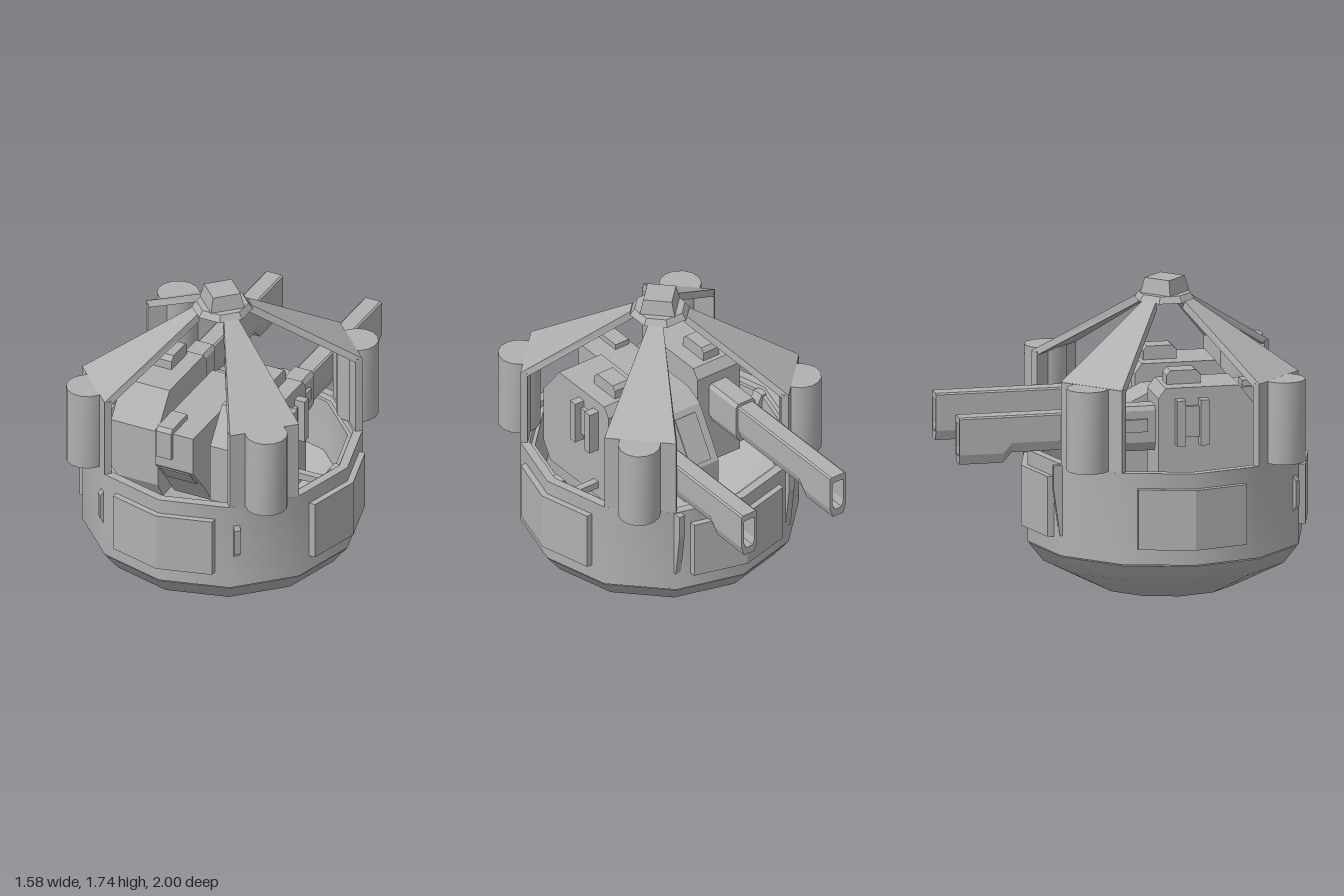
import * as THREE from 'three';
import { toCreasedNormals } from 'three/addons/utils/BufferGeometryUtils.js';

const CZ = 0.205; // turret axis, forward of the model's centre because of the long barrels

export function createModel() {
  const root = new THREE.Group();
  const grey = new THREE.MeshStandardMaterial({ color: 0xb0b0b0 });
  grey.name = 'plainGrey';

  const add = (name, geo, parent = root) => {
    const m = new THREE.Mesh(geo, grey);
    m.name = name;
    parent.add(m);
    return m;
  };
  // Box given by its limits
  const box = (x0, x1, y0, y1, z0, z1) =>
    new THREE.BoxGeometry(x1 - x0, y1 - y0, z1 - z0)
      .translate((x0 + x1) / 2, (y0 + y1) / 2, (z0 + z1) / 2);
  // Side profile of [z, y] points extruded between x0 and x1
  const profile = (pts, x0, x1) =>
    new THREE.ExtrudeGeometry(new THREE.Shape(pts.map(p => new THREE.Vector2(...p))),
      { depth: x1 - x0, bevelEnabled: false }).rotateY(-Math.PI / 2).translate(x1, 0, 0);
  // Flat-shaded skin over rings listed from +z towards -z, counterclockwise seen from +z
  const loft = rings => {
    const v = [], n = rings[0].length, last = rings[rings.length - 1];
    const tri = (...p) => p.forEach(q => v.push(...q));
    for (let s = 0; s + 1 < rings.length; s++) {
      const a = rings[s], b = rings[s + 1];
      for (let i = 0; i < n; i++) {
        const j = (i + 1) % n;
        tri(a[i], b[i], a[j]);
        tri(a[j], b[i], b[j]);
      }
    }
    for (let i = 1; i + 1 < n; i++) {
      tri(rings[0][0], rings[0][i], rings[0][i + 1]);
      tri(last[0], last[i + 1], last[i]);
    }
    const g = new THREE.BufferGeometry();
    g.setAttribute('position', new THREE.Float32BufferAttribute(v, 3));
    g.computeVertexNormals();
    return g;
  };
  const lathe = pts => toCreasedNormals(
    new THREE.LatheGeometry(pts.map(p => new THREE.Vector2(...p)), 12), 0.58).translate(0, 0, CZ);

  // Lower dome and open twelve-sided hull with a bowl inside
  add('lowerDome', lathe([[0, 0], [0.385, 0.055], [0.67, 0.2], [0.75, 0.303], [0.7, 0.303]]));
  add('hullRing', lathe([[0.7, 0.31], [0.755, 0.31], [0.755, 0.815], [0.705, 0.815],
    [0.695, 0.79], [0.675, 0.79], [0.65, 0.5], [0.4, 0.27], [0, 0.18]]));

  // Raised armour panels on the four sides, each bent around a hull corner
  const drop = Math.tan(Math.PI / 12);
  const panelRing = (w, y0, y1, r) => [[-w, y0], [0, y0], [w, y0], [w, y1], [0, y1], [-w, y1]]
    .map(([x, y]) => [x, y, r - Math.abs(x) * drop]);
  for (let k = 0; k < 4; k++) {
    const g = new THREE.Group();
    g.name = 'armourPanel';
    g.position.z = CZ;
    g.rotation.y = k * Math.PI / 2;
    root.add(g);
    // two flat halves meet along the corner
    for (const s of [-1, 1]) {
      const half = r => panelRing(0.298, 0.4, 0.732, r)
        .filter(p => p[0] * s >= 0);
      const order = h => s > 0 ? [h[0], h[1], h[2], h[3]] : [h[0], h[1], h[2], h[3]];
      add('panelHalf', loft([order(half(0.79)), order(half(0.74))]), g);
    }
  }

  // Four diagonal pillars with sloping roof arms
  for (let k = 0; k < 4; k++) {
    const g = new THREE.Group();
    g.name = 'pillar';
    g.position.z = CZ;
    g.rotation.y = Math.PI / 4 + k * Math.PI / 2;
    root.add(g);
    add('pillarPlate', box(-0.195, 0.195, 0.79, 1.268, 0.69, 0.729), g);
    add('pillarCylinder', toCreasedNormals(
      new THREE.CylinderGeometry(0.115, 0.115, 0.453, 14), 0.6).translate(0, 1.0415, 0.764), g);
    const end = (w, yb, zb, yt, zt) => [[-w, yb, zb], [w, yb, zb], [w, yt, zt], [-w, yt, zt]];
    add('roofArm', loft([end(0.195, 1.25, 0.69, 1.27, 0.729), end(0.042, 1.585, 0.14, 1.625, 0.155)]), g);
  }

  // Roof collar and cap
  add('roofCollar', new THREE.CylinderGeometry(0.14, 0.165, 0.035, 8).toNonIndexed()
    .rotateY(Math.PI / 8).translate(0, 1.635, CZ)).geometry.computeVertexNormals();
  const cap = new THREE.CylinderGeometry(0.11, 0.135, 0.085, 4).toNonIndexed();
  cap.computeVertexNormals();
  add('roofCap', cap.translate(0, 1.6925, CZ));

  // Central body between the guns
  add('centralBody', profile([[0.78, 1.13], [0.1, 1.13], [0.0, 1.08], [-0.17, 0.8], [-0.17, 0.62],
    [0.55, 0.62], [0.66, 0.77], [0.78, 0.91]], -0.115, 0.115));
  add('intakeFrame', profile([[0.766, 0.9], [0.774, 0.893], [0.684, 0.788], [0.676, 0.795]], -0.09, 0.09));
  add('rearScreen', profile([[-0.02, 1.05], [-0.026, 1.054], [-0.166, 0.824], [-0.16, 0.82]], -0.068, 0.068));
  add('sight', profile([[0.61, 1.12], [0.78, 1.12], [0.78, 0.98], [0.805, 0.98],
    [0.805, 1.14], [0.785, 1.162], [0.61, 1.162]], -0.095, -0.005));
  add('axle', box(-0.17, 0.17, 0.85, 1.055, 0.2, 0.5));

  // Barrel cross-section at depth z, bottom lowered by d and shrunk by scale k
  const section = (z, d, k = 1) => [[-0.053, 0.94 - d], [-0.034, 0.885 - d], [0.034, 0.885 - d],
    [0.053, 0.94 - d], [0.053, 1.082], [0.043, 1.09], [-0.043, 1.09], [-0.053, 1.082]]
    .map(([x, y]) => [x * k, 0.97 + (y - 0.97) * k, z]);

  for (const s of [-1, 1]) {
    const side = s > 0 ? 'left' : 'right';
    const span = (a, b) => s > 0 ? [a, b] : [-b, -a];

    // Gun housing with top hatch and side vents
    add(side + 'Housing', profile([[0.52, 1.22], [0.115, 1.22], [0.075, 1.165], [0.075, 0.6],
      [0.6, 0.6], [0.66, 0.7], [0.66, 1.035]], ...span(0.158, 0.44)));
    add(side + 'Hatch', profile([[0.325, 1.2], [0.325, 1.27], [0.3, 1.295], [0.16, 1.295],
      [0.14, 1.27], [0.14, 1.2]], ...span(0.245, 0.35)));
    for (const z of [0.165, 0.295])
      add(side + 'Vent', box(...span(0.43, 0.5), 0.91, 1.16, z, z + 0.047));
    add(side + 'VentCore', profile([[0.3, 0.95], [0.3, 1.12], [0.2, 1.12], [0.2, 0.95]], ...span(0.43, 0.46)));

    // Barrel with a hollow, deeper muzzle, and its sleeve
    add(side + 'Barrel', loft([section(0.1, 0), section(-0.71, 0), section(-0.76, 0.055),
      section(-1, 0.055), section(-1, 0.055, 0.68), section(-0.8, 0.055, 0.68)])
      .translate(s * 0.298, 0, 0));
    const sleeve = z => [[-0.065, 0.91], [-0.04, 0.86], [0.04, 0.86], [0.065, 0.91],
      [0.065, 1.085], [0.05, 1.108], [-0.05, 1.108], [-0.065, 1.085]].map(p => [...p, z]);
    add(side + 'Sleeve', loft([sleeve(0.1), sleeve(-0.17)]).translate(s * 0.298, 0, 0));
    add(side + 'SleevePad', box(...span(0.355, 0.378), 0.97, 1.04, -0.11, 0.03));

    // Swivel rod and its bracket on the hull wall
    add(side + 'Rod', box(...span(0.43, 0.66), 0.66, 0.7, 0.165, 0.205));
    const bracket = new THREE.Shape([[0.62, 0.62], [0.7, 0.5], [0.7, 0.8], [0.66, 0.8], [0.62, 0.72]]
      .map(p => new THREE.Vector2(s * p[0], p[1])));
    add(side + 'Bracket', new THREE.ExtrudeGeometry(bracket, { depth: 0.07, bevelEnabled: false })
      .translate(0, 0, 0.172));

    // Small handle on the front hull face and tapered fin at the rear
    const handle = add(side + 'Handle', profile([[0.73, 0.5], [0.748, 0.53], [0.748, 0.67], [0.73, 0.695]],
      ...span(-0.175, -0.14)));
    handle.position.z = CZ;
    handle.rotation.y = s * Math.PI / 4;
    add(side + 'RearFin', profile([[-0.42, 0.81], [-0.49, 0.81], [-0.49, 0.68], [-0.455, 0.42],
      [-0.42, 0.42]], ...span(0.35, 0.385)));
  }
  return root;
}
